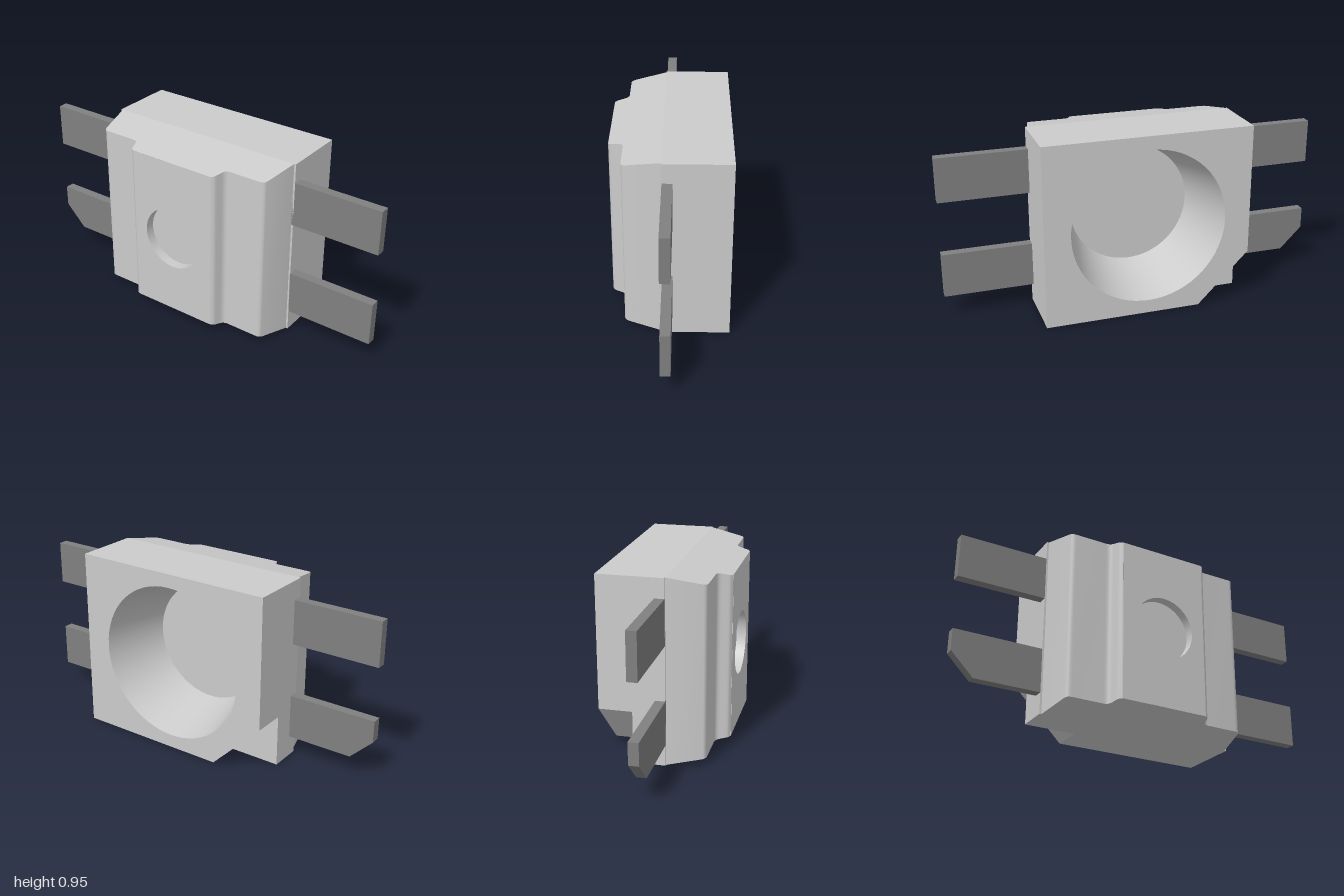
import * as THREE from 'three';
import { toCreasedNormals } from 'three/addons/utils/BufferGeometryUtils.js';

const W = 0.54, H = 0.95, MID = H / 2;          // body half width, height, bore height
const BACK = -0.30, NOTCH = -0.13, STEP = 0.035, FRONT = 0.30;
const CUT = 0.27;                               // corner notch size

// The body narrows at top and bottom in front of the step
const inset = z => Math.max(0, z - STEP) * 0.187;

// Wall between two rows of points, smooth over small angles
function wall(a, b) {
  const pts = [];
  for (let i = 0; i < a.length - 1; i++) pts.push(a[i], b[i], a[i + 1], b[i], b[i + 1], a[i + 1]);
  return toCreasedNormals(new THREE.BufferGeometry().setFromPoints(pts), 0.6);
}

// Open polyline whose inner corners are rounded
function rounded(points, r) {
  const p = points.map(q => new THREE.Vector2(...q));
  const path = new THREE.Path().moveTo(p[0].x, p[0].y);
  for (let i = 1; i < p.length - 1; i++) {
    const toward = q => p[i].clone().add(q.clone().sub(p[i]).setLength(r));
    const s = toward(p[i - 1]), e = toward(p[i + 1]);
    path.lineTo(s.x, s.y);
    path.quadraticCurveTo(p[i].x, p[i].y, e.x, e.y);
  }
  return path.getPoints(5);
}

// Flat cap from an x-z outline, laid on the bottom or the top
function cap(outline, top) {
  const g = new THREE.ShapeGeometry(new THREE.Shape(outline));
  const pos = g.attributes.position;
  for (let i = 0; i < pos.count; i++) {
    const z = pos.getY(i);
    pos.setXYZ(i, pos.getX(i), top ? H - inset(z) : inset(z), z);
  }
  if (top) g.index.array.reverse();
  g.computeVertexNormals();
  return g;
}

// Face in the x-y plane with a round hole
function holedFace(outline, radius, z) {
  const shape = new THREE.Shape(outline);
  shape.holes.push(new THREE.Path().absarc(0, MID, radius, 0, Math.PI * 2, true));
  return new THREE.ShapeGeometry(shape, 32).translate(0, 0, z);
}

// Round recess along z: floor disc plus its wall
function recess(rFloor, zFloor, rRim, zRim) {
  const profile = [[0, zFloor], [rFloor, zFloor], [rRim, zRim]].map(p => new THREE.Vector2(...p));
  return toCreasedNormals(new THREE.LatheGeometry(profile, 64), 0.6)
    .rotateX(Math.PI / 2).translate(0, MID, 0);
}

export function createModel() {
  const group = new THREE.Group();
  const bodyMat = new THREE.MeshStandardMaterial({ color: 0xcccccc, side: THREE.DoubleSide });
  const leadMat = new THREE.MeshStandardMaterial({ color: 0x808080 });
  const v2 = (x, y) => new THREE.Vector2(x, y);
  const add = (name, geometry, material = bodyMat) => {
    const mesh = new THREE.Mesh(geometry, material);
    mesh.name = name;
    group.add(mesh);
  };

  // Front section: stepped, tapered outline, mirrored left to right
  const corner = [[0.53, STEP], [0.49, 0.225], [0.272, 0.225], [0.25, FRONT], [0.15, FRONT]];
  const half = rounded(corner, 0.025).slice(0, -1);
  const mirror = list => list.map(p => v2(-p.x, p.y)).reverse();
  const frontOutline = [...half, ...mirror(half)];

  // Body sides as two upright walls, left open at the front face
  const side = [v2(W, NOTCH), v2(W, STEP), ...half];
  for (const [name, chain] of [['leftSide', side], ['rightSide', mirror(side)]]) {
    add(name, wall(
      chain.map(p => new THREE.Vector3(p.x, inset(p.y), p.y)),
      chain.map(p => new THREE.Vector3(p.x, H - inset(p.y), p.y))));
  }

  // Top and bottom of the body
  const midOutline = [v2(W, NOTCH), v2(W, STEP), v2(-W, STEP), v2(-W, NOTCH)];
  for (const top of [false, true]) {
    add(top ? 'bodyTop' : 'bodyBottom', cap(midOutline, top));
    add(top ? 'frontTopSlope' : 'frontBottomSlope', cap(frontOutline, top));
  }

  // Raised front face with its shallow round mark
  const fx = half[half.length - 1].x, fy = inset(FRONT);
  add('frontFace', holedFace([v2(-fx, fy), v2(fx, fy), v2(fx, H - fy), v2(-fx, H - fy)], 0.165, FRONT));
  add('frontRecess', recess(0.165, FRONT - 0.05, 0.165, FRONT));

  // Rear section with one cut corner
  const rear = [v2(CUT - W, 0), v2(W, 0), v2(W, H), v2(-W, H), v2(-W, CUT)];
  const ring = z => [...rear, rear[0]].map(p => new THREE.Vector3(p.x, p.y, z));
  add('rearSides', wall(ring(NOTCH), ring(BACK)));
  add('backFace', holedFace(rear, 0.405, BACK));
  add('notchFace', new THREE.ShapeGeometry(
    new THREE.Shape([v2(-W, 0), v2(CUT - W, 0), v2(-W, CUT)])).translate(0, 0, NOTCH));

  // Conical bore in the back
  add('backBore', recess(0.32, 0.05, 0.405, BACK));

  // Four flat leads, the lower right one with a clipped corner
  for (const s of [1, -1]) for (const y of [0.11, 0.62]) {
    const h = 0.23, clip = s < 0 && y < 0.5 ? 0.117 : 0;
    const outline = [v2(s * 0.53, y), v2(s * 0.53, y + h), v2(s, y + h)];
    if (clip) outline.push(v2(s, y + clip), v2(s * (1 - clip), y));
    else outline.push(v2(s, y));
    add('lead', new THREE.ExtrudeGeometry(new THREE.Shape(outline), { depth: 0.05, bevelEnabled: false })
      .translate(0, 0, STEP - 0.05), leadMat);
  }
  return group;
}
